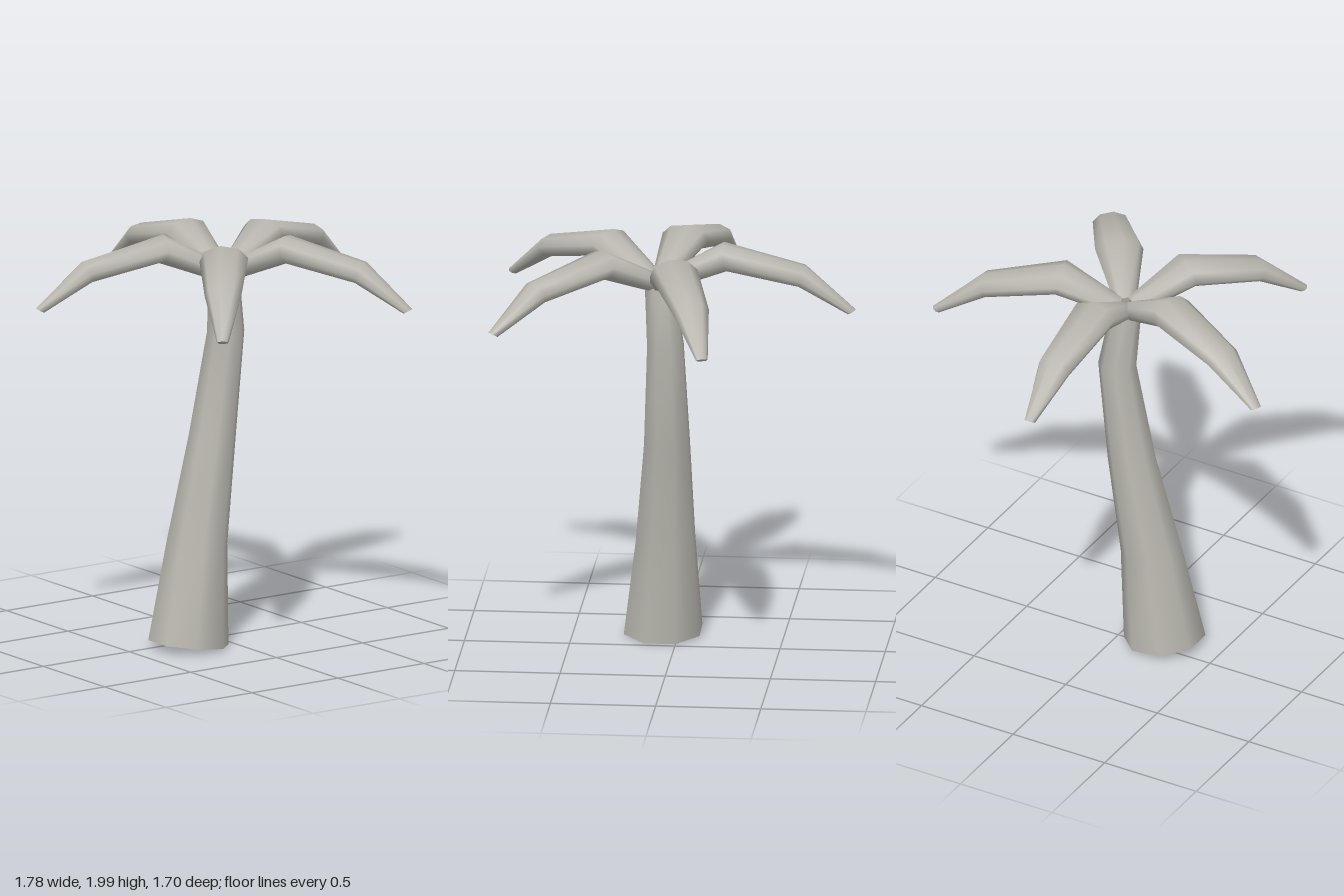
import * as THREE from 'three';

const SIDES = 8;

// Lofts a smooth capped tube through rings { c: centre, u, v: half axes }, where u x v points along the path.
function loft(rings, phase) {
  const pos = [], idx = [];
  const addRing = ({ c, u, v }) => {
    const start = pos.length / 3;
    for (let j = 0; j < SIDES; j++) {
      const a = phase + (j / SIDES) * Math.PI * 2;
      const p = c.clone().addScaledVector(u, Math.cos(a)).addScaledVector(v, Math.sin(a));
      pos.push(p.x, p.y, p.z);
    }
    return start;
  };
  const starts = rings.map(addRing);
  for (let i = 0; i < rings.length - 1; i++) {
    for (let j = 0; j < SIDES; j++) {
      const k = (j + 1) % SIDES;
      const a = starts[i] + j, b = starts[i] + k, c = starts[i + 1] + k, d = starts[i + 1] + j;
      idx.push(a, b, c, a, c, d);
    }
  }
  // End caps use their own vertices so that the rim stays sharp
  const first = addRing(rings[0]), last = addRing(rings[rings.length - 1]);
  for (let j = 1; j < SIDES - 1; j++) {
    idx.push(first, first + j + 1, first + j, last, last + j, last + j + 1);
  }
  const g = new THREE.BufferGeometry();
  g.setAttribute('position', new THREE.Float32BufferAttribute(pos, 3));
  g.setIndex(idx);
  g.computeVertexNormals();
  return g;
}

export function createModel() {
  const group = new THREE.Group();
  group.name = 'palmTree';
  const grey = new THREE.MeshStandardMaterial({ color: 0xb8b6ae });
  grey.name = 'warmGrey';

  // Leaning, tapering trunk: x, y, z, half width, tilt
  const trunkRings = [
    [-0.21, 0.025, 0.075, 0.18, -0.022],
    [-0.148, 0.5, 0.058, 0.136, -0.015],
    [-0.048, 1.0, 0.042, 0.105, -0.015],
    [0.03, 1.5, 0.042, 0.084, 0],
    [0.0, 1.79, 0.072, 0.068, 0],
  ].map(([x, y, z, w, tilt]) => {
    const r = w / Math.cos(Math.PI / 8);
    return {
      c: new THREE.Vector3(x, y, z),
      u: new THREE.Vector3(r, tilt, 0),
      v: new THREE.Vector3(0, 0, -r),
    };
  });
  const trunk = new THREE.Mesh(loft(trunkRings, Math.PI / 8), grey);
  trunk.name = 'trunk';
  group.add(trunk);

  // Arching frond: top distance and height, bottom distance and height, half width
  const frondRings = [
    [0.02, 1.85, 0.04, 1.76, 0.05],
    [0.3, 2.0, 0.33, 1.87, 0.117],
    [0.695, 1.9, 0.665, 1.8, 0.088],
    [0.935, 1.69, 0.895, 1.668, 0.028],
  ].map(([tx, ty, bx, by, w]) => ({
    c: new THREE.Vector3((tx + bx) / 2, (ty + by) / 2, 0),
    u: new THREE.Vector3((tx - bx) / 2, (ty - by) / 2, 0),
    v: new THREE.Vector3(0, 0, w),
  }));
  const frondGeometry = loft(frondRings, 0.15);

  // Five fronds around the crown
  const crown = new THREE.Group();
  crown.name = 'crown';
  crown.position.set(0, 0, 0.075);
  for (let i = 0; i < 5; i++) {
    const frond = new THREE.Mesh(frondGeometry, grey);
    frond.name = `frond${i + 1}`;
    frond.rotation.y = Math.PI / 2 + (i * Math.PI * 2) / 5;
    crown.add(frond);
  }
  group.add(crown);
  return group;
}
